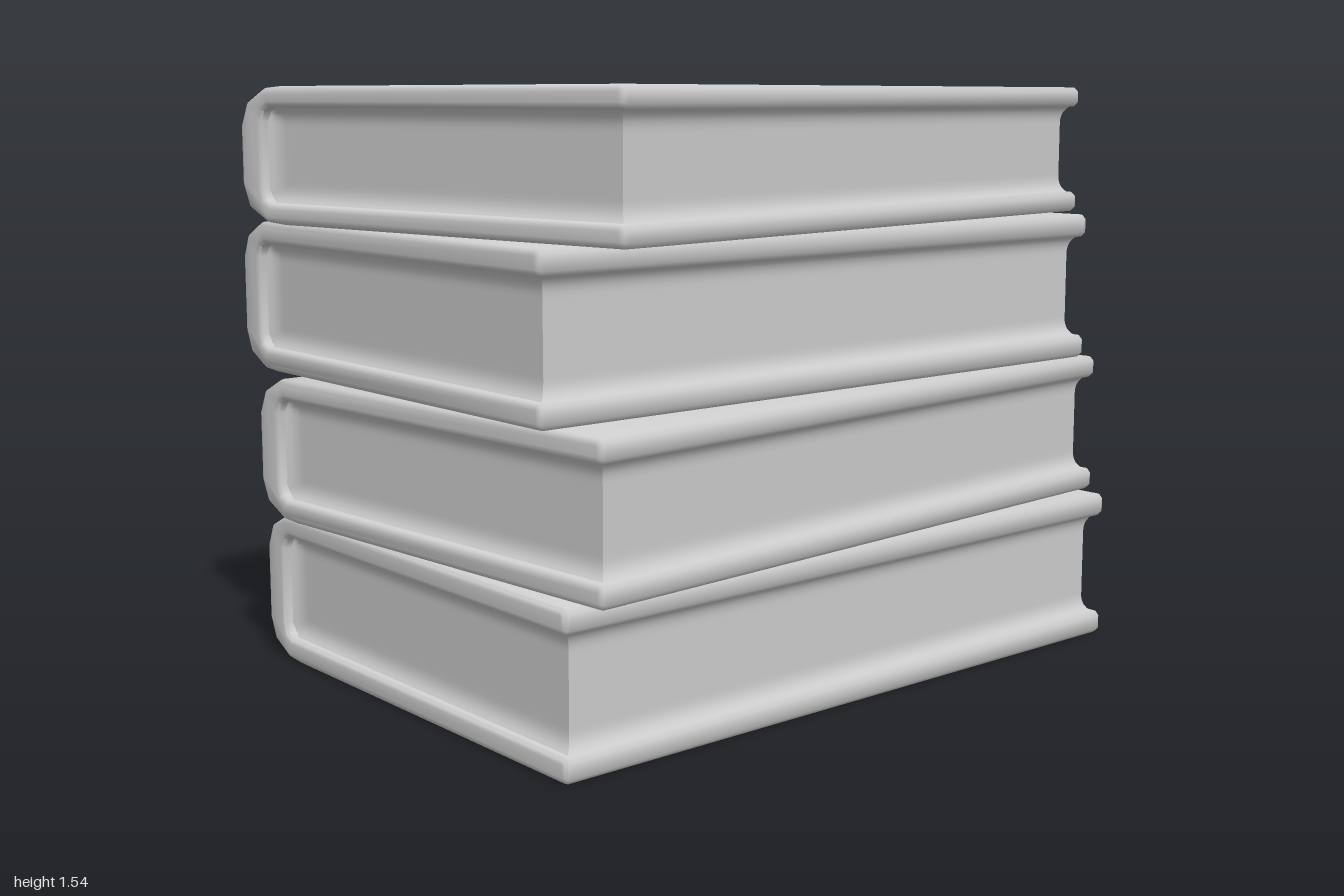
import * as THREE from 'three';
import { toCreasedNormals } from 'three/addons/utils/BufferGeometryUtils.js';

const material = new THREE.MeshStandardMaterial({ color: 0xcccccc });
const W = 0.68;        // half width of a cover
const SPINE = 0.09;    // spine thickness
const BEVEL = 0.016;

// Wrap-around cover: a C-shaped section extruded along the book's length
function coverGeometry(height, halfLength) {
  const h = height / 2, t = height * 0.155, e = 0.012;
  const upper = [
    // outer side, from spine to free edge
    [-W, h - 0.1], [-W + 0.027, h - 0.04], [-W + 0.1, h - 0.004], [-W + 0.16, h],
    [W - e, h], [W, h - e],
    // inner side, back to the spine
    [W, h - t + e], [W - e, h - t],
    [-W + SPINE + 0.03, h - t], [-W + SPINE + 0.008, h - t - 0.01], [-W + SPINE, h - t - 0.035],
  ];
  const lower = upper.map(([x, y]) => [x, -y]).reverse();
  const shape = new THREE.Shape([...upper, ...lower].map(p => new THREE.Vector2(...p)));
  const geometry = new THREE.ExtrudeGeometry(shape, {
    depth: 2 * (halfLength - BEVEL), bevelEnabled: true, bevelSegments: 3,
    bevelSize: BEVEL, bevelThickness: BEVEL, bevelOffset: -BEVEL,
  });
  geometry.translate(0, 0, -halfLength + BEVEL);
  return toCreasedNormals(geometry, 0.87);
}

// Page block: a box whose sides flare softly where they meet the cover
function pagesGeometry(height, halfLength) {
  const inner = height / 2 - height * 0.155;
  const x0 = -W + SPINE - 0.01, x1 = W - 0.04, z1 = halfLength - 0.04;
  const geometry = new THREE.BoxGeometry(x1 - x0, 2 * inner + 0.01, 2 * z1, 60, 26, 1);
  geometry.translate((x0 + x1) / 2, 0, 0);
  const flare = (distance, radius) => {
    const k = THREE.MathUtils.clamp(1 - distance / radius, 0, 1);
    return 0.024 * (1 - Math.sqrt(1 - k * k));
  };
  const p = geometry.attributes.position;
  for (let i = 0; i < p.count; i++) {
    const x = p.getX(i), y = p.getY(i), z = p.getZ(i);
    const fy = flare(inner - Math.abs(y), 0.045);
    const fx = flare(x - x0 - 0.01, 0.045);
    p.setZ(i, z + Math.sign(z) * Math.max(fy, fx));
    if (x > x1 - 1e-4) p.setX(i, x + fy);
  }
  return toCreasedNormals(geometry, 0.8);
}

function createBook({ name, bottom, top, x, z, turn, halfLength }) {
  const book = new THREE.Group();
  book.name = name;
  const height = top - bottom;
  const cover = new THREE.Mesh(coverGeometry(height, halfLength), material);
  cover.name = 'cover';
  const pages = new THREE.Mesh(pagesGeometry(height, halfLength), material);
  pages.name = 'pages';
  book.add(cover, pages);
  book.position.set(x, (bottom + top) / 2, z);
  book.rotation.y = THREE.MathUtils.degToRad(turn);
  return book;
}

export function createModel() {
  const model = new THREE.Group();
  model.name = 'bookStack';
  const books = [
    { name: 'bottomBook', bottom: 0, top: 0.403, x: 0.038, z: 0, turn: -4.25, halfLength: 0.951 },
    { name: 'secondBook', bottom: 0.403, top: 0.785, x: 0.038, z: 0.008, turn: 0, halfLength: 0.945 },
    { name: 'thirdBook', bottom: 0.787, top: 1.188, x: -0.04, z: 0.003, turn: -4.25, halfLength: 0.947 },
    { name: 'topBook', bottom: 1.19, top: 1.54, x: -0.005, z: 0.006, turn: 4, halfLength: 0.947 },
  ];
  for (const b of books) model.add(createBook(b));
  return model;
}
